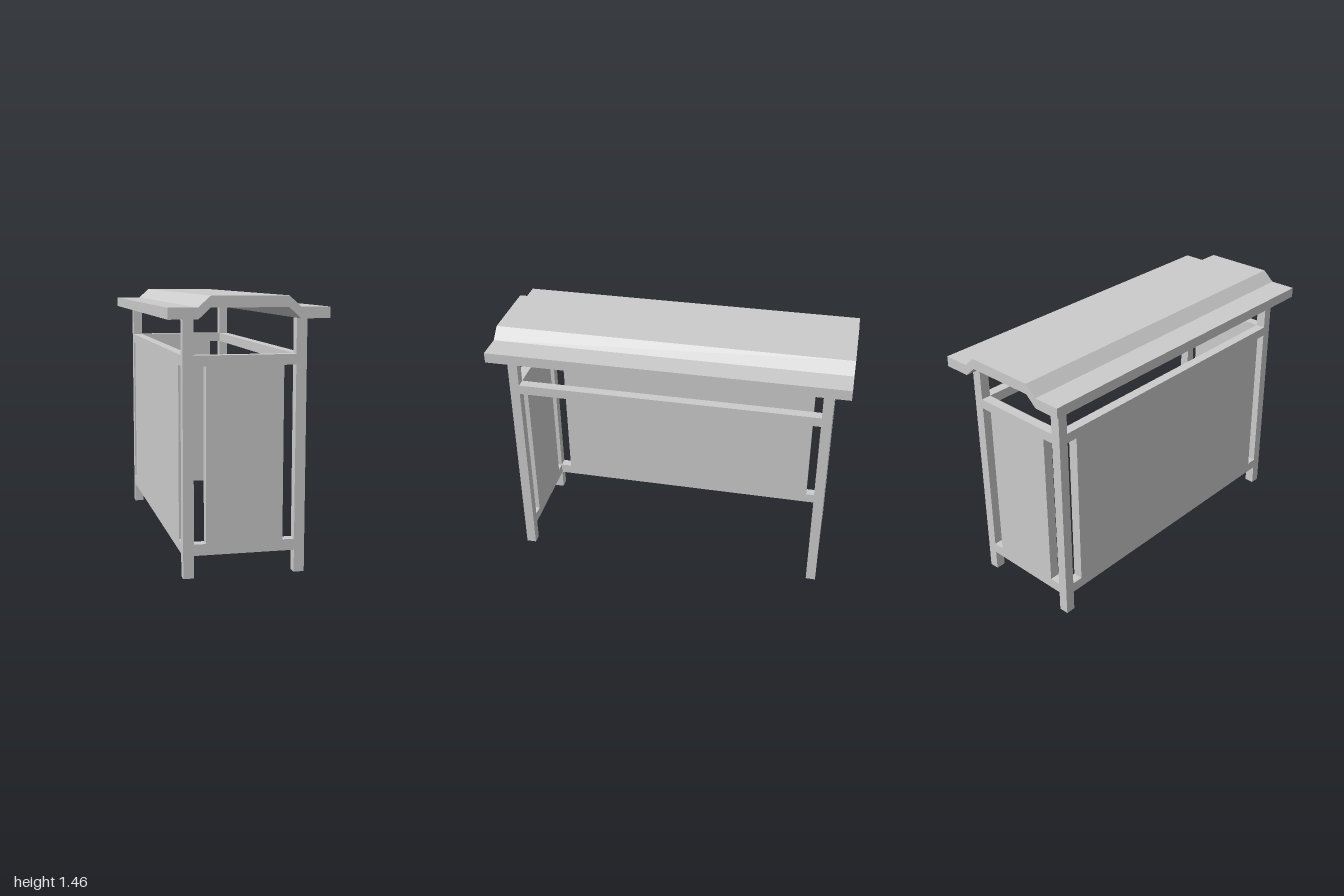
import * as THREE from 'three';

const material = new THREE.MeshStandardMaterial({ color: 0xcccccc, flatShading: true });

// Post layout: centre offsets and square section
const POST = 0.056, POST_X = 0.297, POST_Z = 0.882, POST_H = 1.34;
const LOW = 0.12, LOW_TOP = 0.18, HIGH = 1.1, HIGH_TOP = 1.155;

function addBox(parent, name, size, position) {
  const mesh = new THREE.Mesh(new THREE.BoxGeometry(...size), material);
  mesh.name = name;
  mesh.position.set(...position);
  parent.add(mesh);
  return mesh;
}

// Extrude an outline along z, centred on z = 0
function extrude(points, depth) {
  const shape = new THREE.Shape(points.map(([x, y]) => new THREE.Vector2(x, y)));
  const geometry = new THREE.ExtrudeGeometry(shape, { depth, bevelEnabled: false });
  return geometry.translate(0, 0, -depth / 2);
}

// Panel with full-width rails above and below, leaving a slot beside each post
function railedPanel(name, railHalf, panelHalf) {
  const right = [
    [railHalf, LOW], [railHalf, LOW_TOP], [panelHalf, LOW_TOP],
    [panelHalf, HIGH], [railHalf, HIGH], [railHalf, HIGH_TOP],
  ];
  const left = right.map(([x, y]) => [-x, y]).reverse();
  const mesh = new THREE.Mesh(extrude([...right, ...left], POST), material);
  mesh.name = name;
  return mesh;
}

export function createModel() {
  const model = new THREE.Group();
  model.name = 'shelter';

  // Four corner posts
  for (const sx of [-1, 1]) for (const sz of [-1, 1]) {
    const name = (sz > 0 ? 'front' : 'back') + (sx > 0 ? 'Left' : 'Right') + 'Post';
    addBox(model, name, [POST, POST_H, POST], [sx * POST_X, POST_H / 2, sz * POST_Z]);
  }

  // End panels
  for (const sz of [-1, 1]) {
    const panel = railedPanel(sz > 0 ? 'frontPanel' : 'backPanel', POST_X - POST / 2, 0.205);
    panel.position.z = sz * POST_Z;
    model.add(panel);
  }

  // Long wall on one side, only a top rail on the open side
  const wall = railedPanel('longWall', POST_Z - POST / 2, 0.79);
  wall.rotation.y = Math.PI / 2;
  wall.position.x = -POST_X;
  model.add(wall);
  addBox(model, 'openSideRail', [POST, HIGH_TOP - HIGH, 2 * POST_Z - POST],
    [POST_X, (HIGH + HIGH_TOP) / 2, 0]);

  // Roof slab with a raised middle, one constant section along z
  const under = [[0.2, 1.397], [0.262, 1.34], [0.415, 1.34]];
  const over = [[0.415, 1.398], [0.264, 1.398], [0.2, 1.455]];
  const half = [...under, ...over];
  const mirrored = half.map(([x, y]) => [-x, y]).reverse();
  const roof = new THREE.Mesh(extrude([...half, ...mirrored], 2), material);
  roof.name = 'roof';
  model.add(roof);

  return model;
}
